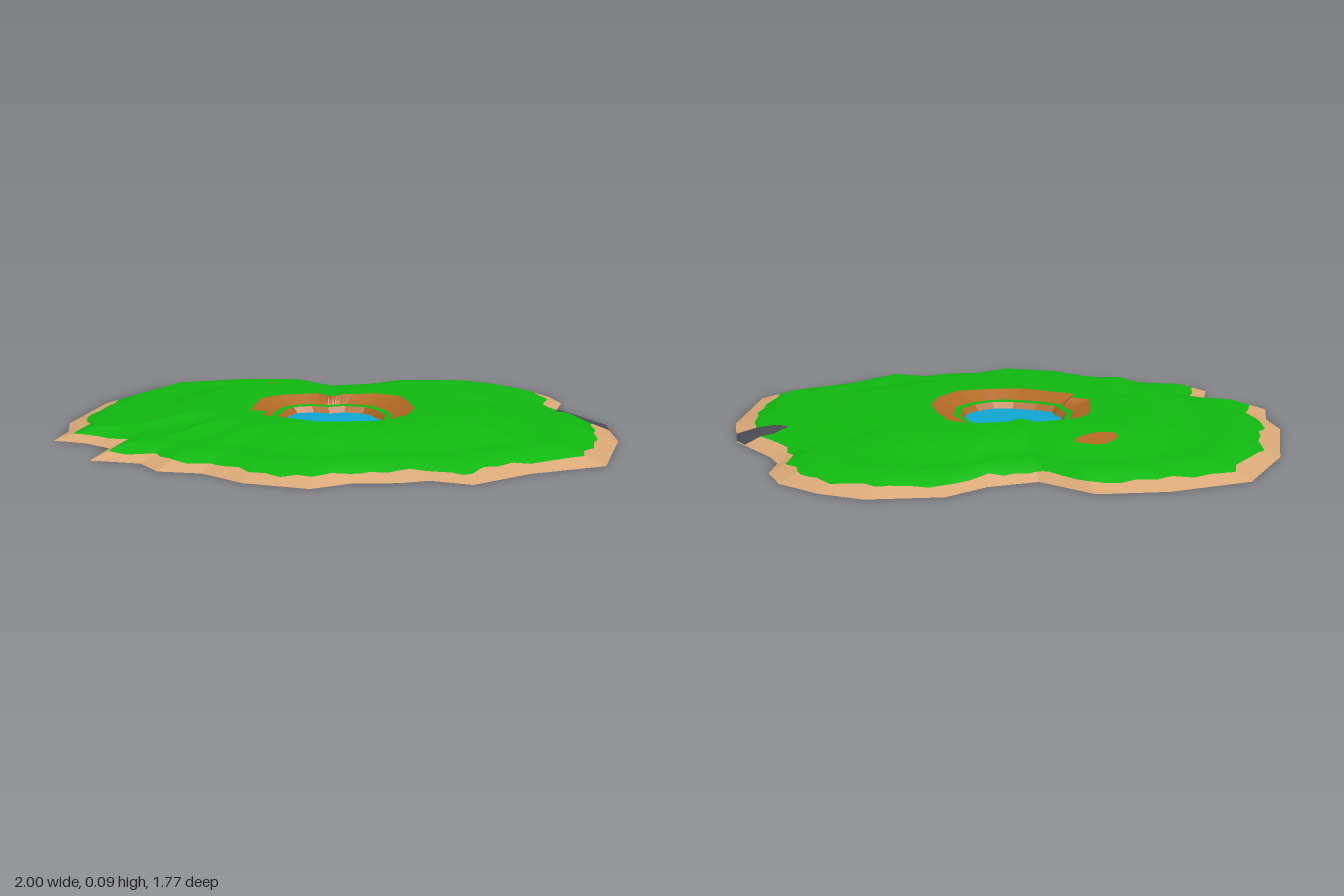
import * as THREE from 'three';

const CX = -0.015, CZ = 0.03; // centre of the pond, origin of all rings

// Plan outlines as x, z pairs
const SHORE = [-0.995, -0.21, -0.9, -0.52, -0.64, -0.67, -0.4, -0.73, -0.2, -0.62, -0.04, -0.7, 0.08, -0.83,
  0.335, -0.89, 0.495, -0.85, 0.65, -0.76, 0.715, -0.645, 0.715, -0.53, 0.76, -0.455, 0.93, -0.28, 0.955, -0.19,
  1, -0.04, 1, 0.34, 0.77, 0.51, 0.615, 0.7, 0.47, 0.68, 0.38, 0.735, 0.23, 0.78, 0.12, 0.88, -0.11, 0.86,
  -0.28, 0.77, -0.43, 0.78, -0.52, 0.69, -0.705, 0.69, -0.705, 0.505, -0.81, 0.455, -0.94, 0.44,
  -0.945, 0.29, -0.995, 0.16];
const RIM = [-0.31, 0.04, -0.315, -0.05, -0.27, -0.12, -0.14, -0.185, -0.075, -0.145, -0.04, -0.195, 0.08, -0.235,
  0.165, -0.215, 0.22, -0.13, 0.27, -0.01, 0.27, 0.1, 0.21, 0.22, 0.085, 0.265, -0.02, 0.29, -0.11, 0.265,
  -0.23, 0.235, -0.225, 0.175, -0.295, 0.16];
const WATER = [-0.2, -0.015, -0.185, -0.065, -0.13, -0.095, -0.07, -0.09, -0.02, -0.12, 0.05, -0.12, 0.1, -0.08,
  0.145, -0.015, 0.155, 0.08, 0.12, 0.14, 0.065, 0.18, -0.005, 0.19, -0.085, 0.18, -0.155, 0.16,
  -0.17, 0.12, -0.2, 0.08];
const BARE_PATCH = [-0.435, -0.335, -0.405, -0.385, -0.365, -0.4, -0.295, -0.395, -0.3, -0.365, -0.365, -0.305,
  -0.42, -0.295, -0.435, -0.31];
const ROCK = [0.745, -0.265, 0.785, -0.295, 0.835, -0.29, 0.885, -0.327, 0.93, -0.28, 0.955, -0.19, 0.875, -0.19,
  0.8, -0.225, 0.75, -0.24];

// Outline to corners sorted by angle about the centre
function polar(flat) {
  const pts = [];
  for (let i = 0; i < flat.length; i += 2) {
    const x = flat[i] - CX, z = flat[i + 1] - CZ;
    pts.push({ x, z, a: Math.atan2(z, x) });
  }
  return pts.sort((p, q) => p.a - q.a);
}

// Distance from the centre to an outline in direction a
function reach(pts, a) {
  let i = pts.findIndex((p) => p.a > a);
  if (i < 0) i = 0;
  const p = pts[(i + pts.length - 1) % pts.length], q = pts[i];
  const ex = q.x - p.x, ez = q.z - p.z;
  return (p.x * ez - p.z * ex) / (Math.cos(a) * ez - Math.sin(a) * ex);
}

const shore = polar(SHORE), rim = polar(RIM), water = polar(WATER);

// Shared directions: every corner plus an even spread
const angles = [...shore, ...rim, ...water].map((p) => p.a);
for (let i = 0; i < 90; i++) angles.push(-Math.PI + 0.01 + (i / 90) * Math.PI * 2);
const dirs = angles.sort((a, b) => a - b).filter((a, i) => i === 0 || a - angles[i - 1] > 1e-4);

// Height of the land by fraction of the way to the shore
const PROFILE = [[1, 0], [0.855, 0.05], [0.7, 0.05], [0.52, 0.088]];
function landHeight(f) {
  if (f >= 1) return 0;
  for (let i = 1; i < PROFILE.length; i++) {
    const [f0, y0] = PROFILE[i - 1], [f1, y1] = PROFILE[i];
    if (f >= f1) return y0 + ((f0 - f) / (f0 - f1)) * (y1 - y0);
  }
  return 0.088;
}

// Ring makers: each returns one point per direction
const ring = (radius, height) => dirs.map((a) => {
  const r = radius(a);
  return [CX + Math.cos(a) * r, height(a), CZ + Math.sin(a) * r];
});
const landRing = (f) => ring((a) => reach(shore, a) * f(a), (a) => landHeight(f(a)));
const pondRing = (pts, grow, y) => ring((a) => reach(pts, a) + grow, () => y);
const pointRing = (y) => ring(() => 0, () => y);

// Skin closed rings, outer to inner facing up
function loft(rings, smooth) {
  const n = rings[0].length, index = [];
  for (let k = 0; k < rings.length - 1; k++) {
    for (let i = 0; i < n; i++) {
      const j = (i + 1) % n, o = k * n, q = o + n;
      index.push(o + i, q + i, o + j, o + j, q + i, q + j);
    }
  }
  let geo = new THREE.BufferGeometry();
  geo.setAttribute('position', new THREE.Float32BufferAttribute(rings.flat(2), 3));
  geo.setIndex(index);
  if (!smooth) geo = geo.toNonIndexed();
  geo.computeVertexNormals();
  return geo;
}

// Thin patch draped over the land
function drape(flat) {
  const pts = [];
  for (let i = 0; i < flat.length; i += 2) {
    for (let t = 0; t < 4; t++) {
      const j = (i + 2) % flat.length;
      pts.push([flat[i] + (flat[j] - flat[i]) * t / 4, flat[i + 1] + (flat[j + 1] - flat[i + 1]) * t / 4]);
    }
  }
  const mx = pts.reduce((s, p) => s + p[0], 0) / pts.length;
  const mz = pts.reduce((s, p) => s + p[1], 0) / pts.length;
  const rings = [];
  for (let k = 8; k >= 0; k--) {
    rings.push(pts.map(([px, pz]) => {
      const x = mx + (px - mx) * k / 8, z = mz + (pz - mz) * k / 8;
      const f = Math.hypot(x - CX, z - CZ) / reach(shore, Math.atan2(z - CZ, x - CX));
      return [x, landHeight(f) + 0.004, z];
    }));
  }
  return loft(rings, true);
}

export function createModel() {
  const mat = (name, color) => Object.assign(new THREE.MeshStandardMaterial({ color }), { name });
  const grass = mat('grass green', 0x10b810);
  const sand = mat('sand', 0xd9a877);
  const dirt = mat('dirt brown', 0xb06824);
  const blue = mat('water blue', 0x10a6d0);
  const grey = mat('rock grey', 0x4a4c52);

  const group = new THREE.Group();
  group.name = 'island';
  const add = (name, geometry, material) => {
    const mesh = new THREE.Mesh(geometry, material);
    mesh.name = name;
    group.add(mesh);
  };

  // Wavy line where the grass meets the beach
  const grassEdge = (a) => 0.93 + 0.008 * Math.sin(a * 17) + 0.007 * Math.sin(a * 41 + 1);

  // Island body
  add('underside', loft([pointRing(0), landRing(() => 1)], false), sand);
  add('beach', loft([landRing(() => 1), landRing(grassEdge)], false), sand);
  add('grassland', loft([
    landRing(grassEdge), ...[0.855, 0.78, 0.7, 0.61, 0.52].map((f) => landRing(() => f)),
    pondRing(rim, 0, 0.088),
  ], true), grass);

  // Stepped pond basin
  add('upperBank', loft([pondRing(rim, 0, 0.088), pondRing(water, 0.04, 0.058)], false), dirt);
  add('grassLedge', loft([pondRing(water, 0.04, 0.058), pondRing(water, 0.017, 0.055)], false), grass);
  add('lowerBank', loft([pondRing(water, 0.017, 0.055), pondRing(water, 0, 0.034)], false), dirt);
  add('water', loft([pondRing(water, 0, 0.034), pointRing(0.034)], false), blue);

  // Details on the land
  add('barePatch', drape(BARE_PATCH), dirt);
  add('shoreRock', drape(ROCK), grey);
  return group;
}
